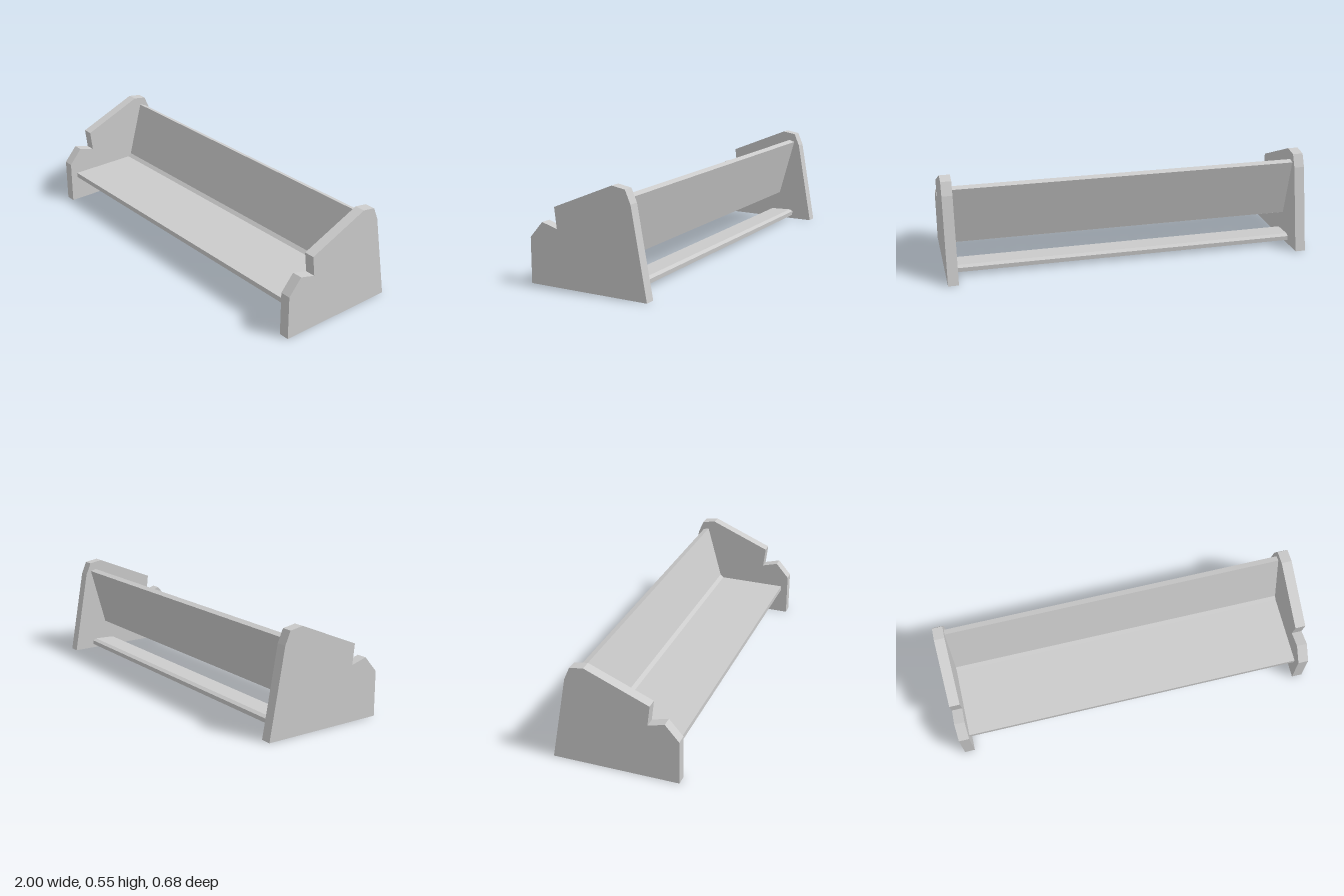
import * as THREE from 'three';

const material = new THREE.MeshStandardMaterial({ color: 0xcccccc, flatShading: true });

// Extrudes a [z, y] side profile along x, centred on the given x
function plank(name, profile, width, x = 0) {
  const shape = new THREE.Shape(profile.map(([z, y]) => new THREE.Vector2(z, y)));
  const geometry = new THREE.ExtrudeGeometry(shape, { depth: width, bevelEnabled: false });
  geometry.translate(0, 0, -width / 2);
  geometry.rotateY(-Math.PI / 2);
  geometry.translate(x, 0, 0);
  const mesh = new THREE.Mesh(geometry, material);
  mesh.name = name;
  return mesh;
}

export function createModel() {
  const model = new THREE.Group();
  model.name = 'tabletopRack';

  // Notched end panels
  const panel = [
    [0.34, 0], [0.34, 0.24], [0.266, 0.325], [0.177, 0.3], [0.19, 0.41],
    [-0.15, 0.551], [-0.224, 0.539], [-0.254, 0.47], [-0.34, 0],
  ];
  const thickness = 0.057;
  for (const side of [-1, 1]) {
    const name = side > 0 ? 'leftEndPanel' : 'rightEndPanel';
    model.add(plank(name, panel, thickness, side * (1 - thickness / 2)));
  }

  const span = 2 - 2 * thickness;

  // Level shelf
  model.add(plank('shelf', [[0.3, 0.147], [0.3, 0.174], [-0.1, 0.174], [-0.1, 0.147]], span));

  // Leaning back board with a bevelled foot meeting the shelf
  model.add(plank('backBoard', [
    [-0.086, 0.174], [-0.104, 0.191], [-0.19, 0.5], [-0.222, 0.49], [-0.13, 0.16], [-0.1, 0.165],
  ], span));

  // Low stretcher between the panels at the back
  model.add(plank('rearStretcher', [
    [-0.08, 0.021], [-0.08, 0.05], [-0.2, 0.055], [-0.22, 0.045], [-0.218, 0.021],
  ], span));

  return model;
}
